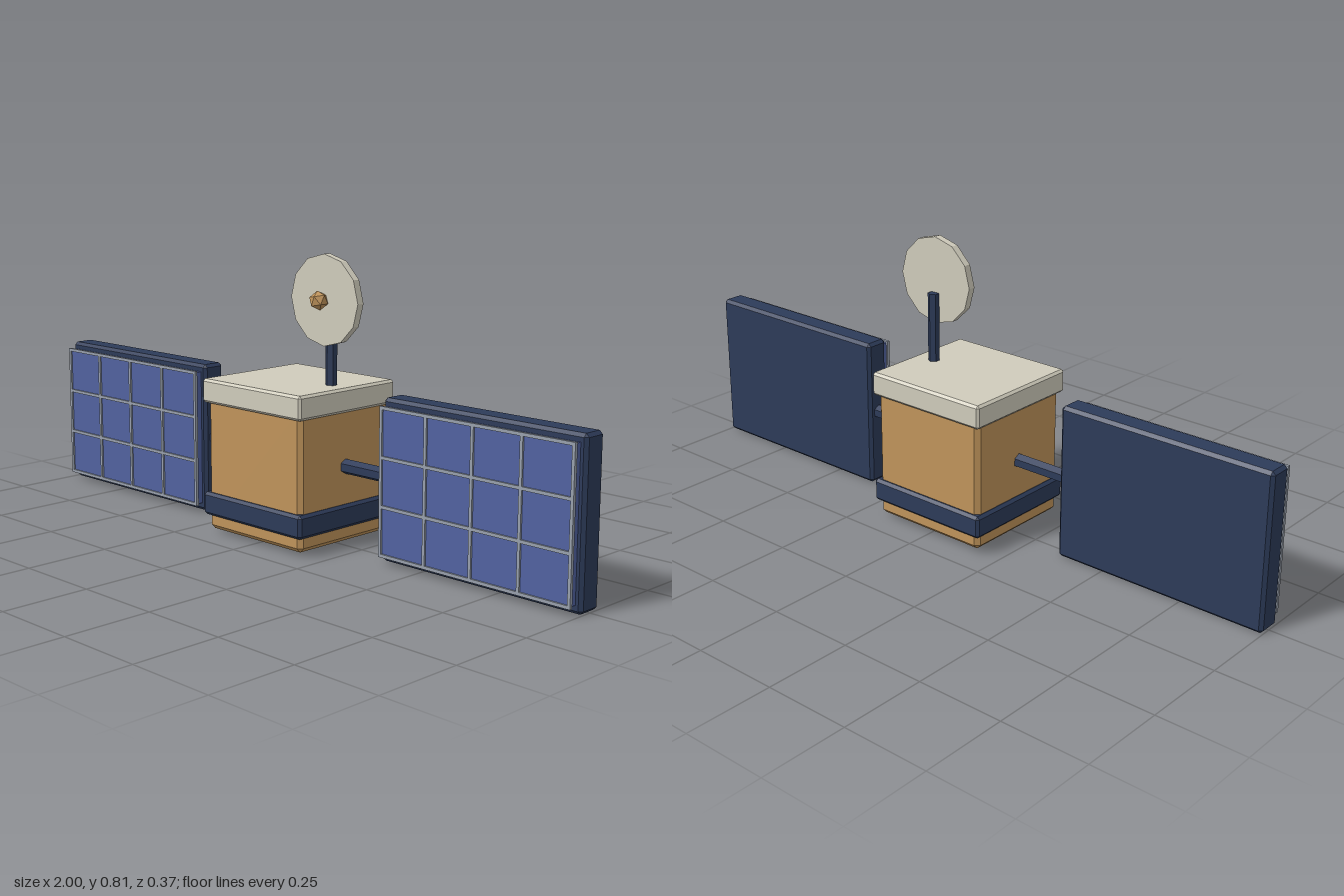
import * as THREE from 'three';
import { ConvexGeometry } from 'three/addons/geometries/ConvexGeometry.js';

const paint = (name, color) => {
  const m = new THREE.MeshStandardMaterial({ color });
  m.name = name;
  return m;
};

// Box with a single flat chamfer on every edge
function chamferBox(w, h, d, c) {
  const x = w / 2, y = h / 2, z = d / 2, points = [];
  for (const sx of [-1, 1]) for (const sy of [-1, 1]) for (const sz of [-1, 1]) {
    points.push(
      new THREE.Vector3(sx * x, sy * (y - c), sz * (z - c)),
      new THREE.Vector3(sx * (x - c), sy * y, sz * (z - c)),
      new THREE.Vector3(sx * (x - c), sy * (y - c), sz * z));
  }
  return new ConvexGeometry(points);
}

// Faceted solids get per-face normals
function faceted(geometry) {
  const g = geometry.index ? geometry.toNonIndexed() : geometry;
  g.computeVertexNormals();
  return g;
}

export function createModel() {
  const model = new THREE.Group();
  model.name = 'satellite';
  const gold = paint('gold foil', 0xc0945b);
  const navy = paint('navy frame', 0x2d3b59);
  const cream = paint('cream shell', 0xd0ccbc);
  const blue = paint('solar blue', 0x5162a0);
  const grey = paint('grid grey', 0x98a0ac);

  const add = (parent, name, geometry, material, x, y, z) => {
    const mesh = new THREE.Mesh(geometry, material);
    mesh.name = name;
    mesh.position.set(x, y, z);
    parent.add(mesh);
    return mesh;
  };

  // Main body with its lid and lower belt
  add(model, 'body', chamferBox(0.372, 0.4, 0.35, 0.013), gold, 0, 0.21, 0);
  add(model, 'lid', chamferBox(0.392, 0.068, 0.374, 0.007), cream, 0, 0.411, 0);
  add(model, 'belt', chamferBox(0.392, 0.066, 0.374, 0.008), navy, 0, 0.085, 0);

  // Solar wings, one on each side
  const armGeometry = faceted(new THREE.CylinderGeometry(0.021, 0.021, 0.22, 6))
    .rotateY(Math.PI / 2).rotateZ(Math.PI / 2);
  const frameGeometry = chamferBox(0.645, 0.445, 0.072, 0.009);
  const cellsGeometry = new THREE.BoxGeometry(0.61, 0.4, 0.03);
  const cellsW = 0.61, cellsH = 0.4, bar = 0.009;
  const uprightGeometry = new THREE.BoxGeometry(bar, cellsH + bar, 0.009);
  const crossGeometry = new THREE.BoxGeometry(cellsW + bar, bar, 0.009);

  for (const side of [-1, 1]) {
    const wing = new THREE.Group();
    wing.name = side > 0 ? 'leftWing' : 'rightWing';
    model.add(wing);
    add(wing, 'arm', armGeometry, navy, side * 0.27, 0.225, 0);
    const cx = side * 0.6775, cy = 0.2235;
    add(wing, 'frame', frameGeometry, navy, cx, 0.2225, 0);
    add(wing, 'solarCells', cellsGeometry, blue, cx, cy, 0.044);
    // Raised grid dividing the cells four by three
    for (let i = 0; i <= 4; i++) {
      add(wing, 'gridUpright', uprightGeometry, grey, cx + (i / 4 - 0.5) * cellsW, cy, 0.0595);
    }
    for (let j = 0; j <= 3; j++) {
      add(wing, 'gridCross', crossGeometry, grey, cx, cy + (j / 3 - 0.5) * cellsH, 0.0595);
    }
  }

  // Mast, dish and feed on the lid
  const antenna = new THREE.Group();
  antenna.name = 'antenna';
  antenna.position.x = 0.13;
  model.add(antenna);
  const mast = faceted(new THREE.CylinderGeometry(0.0165, 0.0165, 0.215, 6));
  add(antenna, 'mast', mast, navy, 0, 0.5375, 0);
  const dish = faceted(new THREE.CylinderGeometry(0.126, 0.126, 0.022, 12)).rotateX(Math.PI / 2);
  add(antenna, 'dish', dish, cream, 0, 0.681, 0.019);
  const feed = faceted(new THREE.IcosahedronGeometry(0.027, 0)).rotateZ(-0.365);
  add(antenna, 'feed', feed, gold, 0, 0.682, 0.05);

  return model;
}
